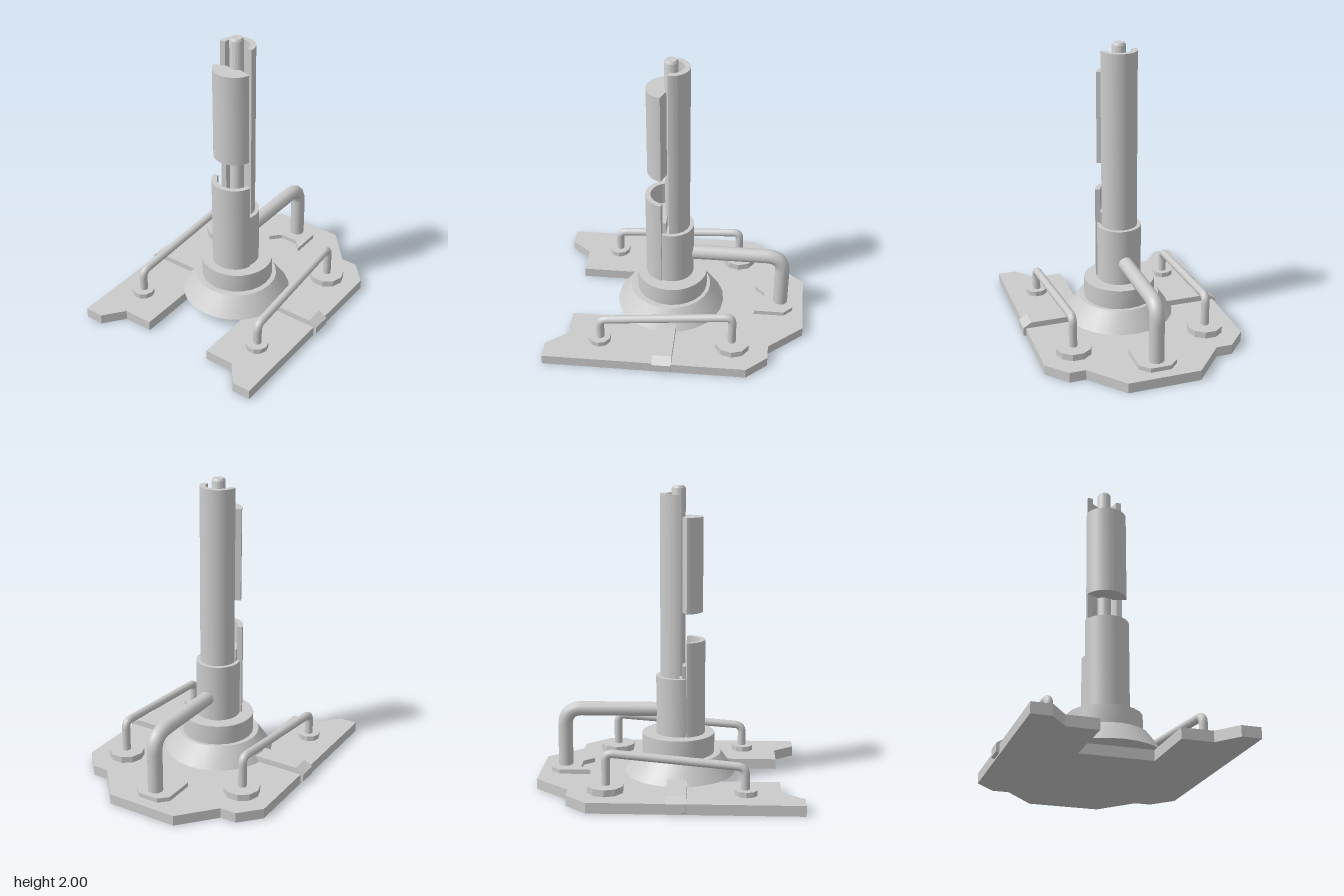
import * as THREE from 'three';
import { toCreasedNormals } from 'three/addons/utils/BufferGeometryUtils.js';

const material = new THREE.MeshStandardMaterial({ color: 0xcccccc, side: THREE.DoubleSide });
const AXIS = -0.06; // x of the central column

export function createModel() {
  const model = new THREE.Group();

  const add = (name, geometry, crease = 0.6) => {
    const mesh = new THREE.Mesh(toCreasedNormals(geometry, crease), material);
    mesh.name = name;
    model.add(mesh);
    return mesh;
  };
  const outline = (points) => new THREE.Shape(points.map(([x, y]) => new THREE.Vector2(x, y)));

  // Extrudes a plan outline (x, -z) from height y0 to y1
  const upright = (shape, y0, y1) =>
    new THREE.ExtrudeGeometry(shape, { depth: y1 - y0, bevelEnabled: false, curveSegments: 20 })
      .rotateX(-Math.PI / 2).translate(0, y0, 0);

  const drum = (x, z, y0, y1, rBottom, rTop, sides) =>
    new THREE.CylinderGeometry(rTop, rBottom, y1 - y0, sides).translate(x, (y0 + y1) / 2, z);

  // Arc-shaped wall: outer and inner arcs about (cx, 0), between two angles
  const wall = (cx, rOuter, rInner, a0, a1) => {
    const s = new THREE.Shape();
    s.absarc(cx, 0, rOuter, a0, a1, false);
    s.absarc(cx, 0, rInner, a1, a0, true);
    s.closePath();
    return s;
  };

  // Round pipe along straight runs with curved corners
  const pipe = (points, radius, bend) => {
    const p = points.map((q) => new THREE.Vector3(...q));
    const path = new THREE.CurvePath();
    let from = p[0];
    for (let i = 1; i < p.length - 1; i++) {
      const a = p[i].clone().add(p[i - 1].clone().sub(p[i]).setLength(bend));
      const b = p[i].clone().add(p[i + 1].clone().sub(p[i]).setLength(bend));
      path.add(new THREE.LineCurve3(from, a));
      path.add(new THREE.QuadraticBezierCurve3(a, p[i], b));
      from = b;
    }
    path.add(new THREE.LineCurve3(from, p[p.length - 1]));
    return new THREE.TubeGeometry(path, 90, radius, 12);
  };

  // Base plate with a slot between two arms
  const half = [[-0.3, 0.245], [-0.74, 0.245], [-0.74, 0.45], [-0.88, 0.56], [-0.88, 0.688],
    [0.5, 0.688], [0.64, 0.56], [0.64, 0.45], [0.875, 0.245]];
  const mirrored = half.map(([x, z]) => [x, -z]).reverse();
  add('basePlate', upright(outline([...half, ...mirrored]), 0, 0.07), 0.1);

  // Conical foot and collar
  add('conicalFoot', drum(-0.07, 0, 0.07, 0.205, 0.375, 0.28, 24));
  add('collar', drum(AXIS, 0, 0.2, 0.34, 0.245, 0.245, 24));

  // Column: sleeve, tall half tube and centre rod
  const cut = Math.acos(-0.06 / 0.15);
  const sleeve = new THREE.Shape();
  sleeve.absarc(AXIS, 0, 0.15, -cut, cut, false);
  sleeve.closePath();
  add('sleeve', upright(sleeve, 0.33, 0.735));
  add('tallHalfTube', upright(wall(AXIS, 0.122, 0.085, -1.65, 1.65), 0.7, 1.95));
  add('centreRod', new THREE.LatheGeometry([[0, 0.33], [0.046, 0.33], [0.046, 1.985], [0.036, 2], [0, 2]]
    .map(([r, y]) => new THREE.Vector2(r, y)), 16).translate(AXIS, 0, 0));

  // Lower shell with its filled core
  add('lowerShell', upright(wall(-0.085, 0.155, 0.12, 1.8, 2 * Math.PI - 1.8), 0.33, 0.98));
  const core = new THREE.Shape();
  core.absarc(-0.085, 0, 0.122, 1.6, 2 * Math.PI - 1.6, false);
  core.closePath();
  add('lowerCore', upright(core, 0.33, 0.82));

  // Upper cover, hollowed around the rod
  const cover = new THREE.Shape();
  cover.absarc(-0.08, 0, 0.143, 1.84, 2 * Math.PI - 1.84, false);
  cover.lineTo(-0.087, -0.05);
  cover.quadraticCurveTo(-0.125, 0, -0.087, 0.05);
  cover.closePath();
  add('upperCover', upright(cover, 1.17, 1.8));

  // Large side pipe and its notched foot
  add('sidePipe', pipe([[0.05, 0.495, 0], [0.712, 0.495, 0], [0.712, 0.08, 0]], 0.05, 0.12));
  add('sidePipeFoot', upright(outline([[0.53, -0.13], [0.74, -0.13], [0.8, -0.07], [0.8, 0.07],
    [0.74, 0.13], [0.53, 0.13], [0.6, 0.065], [0.6, -0.065]]), 0.07, 0.1), 0.1);

  // Handrails, their feet and the straps on both sides
  for (const s of [1, -1]) {
    const side = s > 0 ? 'front' : 'back';
    add(side + 'Rail', pipe([[-0.505, 0.08, s * 0.488], [-0.505, 0.25, s * 0.488],
      [0.392, 0.325, s * 0.465], [0.392, 0.08, s * 0.465]], 0.028, 0.05));
    add(side + 'RailSmallFoot', drum(-0.51, s * 0.488, 0.06, 0.105, 0.076, 0.076, 10));
    add(side + 'RailLargeFoot', drum(0.395, s * 0.462, 0.06, 0.115, 0.121, 0.121, 10));
    const profile = [[0.3, 0.06], [0.3, 0.11], [0.65, 0.11], [0.708, 0.075], [0.708, 0.02], [0.685, 0.01]];
    add(side + 'Strap', new THREE.ExtrudeGeometry(outline(profile.map(([z, y]) => [s * z, y])),
      { depth: 0.13, bevelEnabled: false }).rotateY(-Math.PI / 2), 0.1);
  }

  return model;
}
